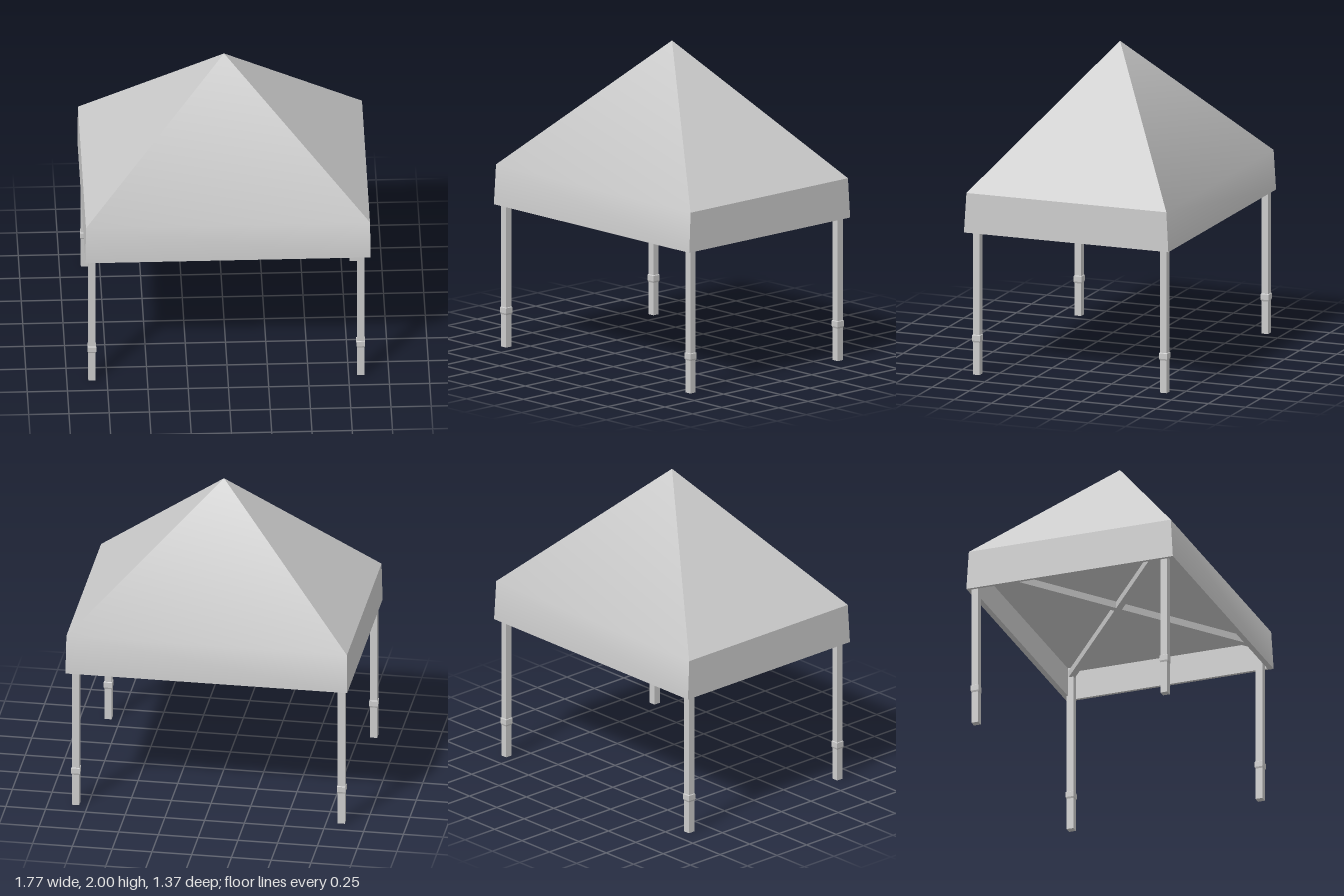
import * as THREE from 'three';
import { toCreasedNormals } from 'three/addons/utils/BufferGeometryUtils.js';

const grey = new THREE.MeshStandardMaterial({ color: 0xcccccc });
const flat = new THREE.MeshStandardMaterial({ color: 0xcccccc, flatShading: true });

const EAVE = 1.165, HEM = 0.912, PEAK = 2, CEILING = 1.1;

// Indexed surface from a few corner points, smooth only over gentle bends
function surface(points, index, name) {
  const geo = new THREE.BufferGeometry();
  geo.setAttribute('position', new THREE.Float32BufferAttribute(points.flat(), 3));
  geo.setIndex(index);
  const mesh = new THREE.Mesh(toCreasedNormals(geo, THREE.MathUtils.degToRad(40)), grey);
  mesh.name = name;
  return mesh;
}

function box(w, h, d, x, y, z, name) {
  const mesh = new THREE.Mesh(new THREE.BoxGeometry(w, h, d), flat);
  mesh.position.set(x, y, z);
  mesh.name = name;
  return mesh;
}

// Corners of a rectangle at one height, anticlockwise seen from above
const ring = (x, y, z) => [[-x, y, z], [x, y, z], [x, y, -z], [-x, y, -z]];

// Roof slope with its hanging valance, one panel per side
function createCanopy() {
  const canopy = new THREE.Group();
  canopy.name = 'canopy';
  const eave = ring(0.882, EAVE, 0.67);
  const hem = ring(0.886, HEM, 0.685);
  const innerHem = ring(0.866, HEM, 0.65);
  const innerTop = ring(0.866, CEILING, 0.65);
  ['front', 'left', 'back', 'right'].forEach((side, i) => {
    const j = (i + 1) % 4;
    // Front and back cloth bends softly at the eave, the ends are creased
    canopy.add(surface(
      [[0, PEAK, 0], eave[i], eave[j], hem[i], hem[j]],
      [0, 1, 2, 1, 3, 4, 1, 4, 2], side + 'Panel'));
    // Bottom edge and inner face of the valance
    canopy.add(surface(
      [hem[i], hem[j], innerHem[i], innerHem[j], innerTop[i], innerTop[j]],
      [0, 2, 3, 0, 3, 1, 2, 4, 5, 2, 5, 3], side + 'ValanceLining'));
  });
  canopy.add(surface(innerTop, [0, 2, 1, 0, 3, 2], 'ceiling'));
  return canopy;
}

// Square leg with a tapered collar near the foot
function createLeg(x, z) {
  const leg = new THREE.Group();
  leg.name = 'leg';
  leg.add(box(0.045, CEILING, 0.045, 0, CEILING / 2, 0, 'tube'));
  const profile = [[0.0225, 0.207], [0.027, 0.218], [0.027, 0.252], [0.0225, 0.256]]
    .map(([r, y]) => new THREE.Vector2(r * Math.SQRT2, y));
  const collar = new THREE.Mesh(new THREE.LatheGeometry(profile, 4), flat);
  collar.rotation.y = Math.PI / 4;
  collar.name = 'collar';
  leg.add(collar);
  leg.position.set(x, 0, z);
  return leg;
}

export function createModel() {
  const model = new THREE.Group();
  model.name = 'gazebo';
  model.add(createCanopy());

  // Legs sit slightly off centre under the canopy
  const cx = -0.009, cz = -0.009, dx = 0.835, dz = 0.627;
  for (const sx of [-1, 1])
    for (const sz of [-1, 1]) model.add(createLeg(cx + sx * dx, cz + sz * dz));

  // Crossed braces from corner to corner
  for (const s of [-1, 1]) {
    const brace = box(2 * Math.hypot(dx, dz), 0.045, 0.04, cx, 1.06, cz, 'brace');
    brace.rotation.y = s * Math.atan2(dz, dx);
    model.add(brace);
  }
  return model;
}
